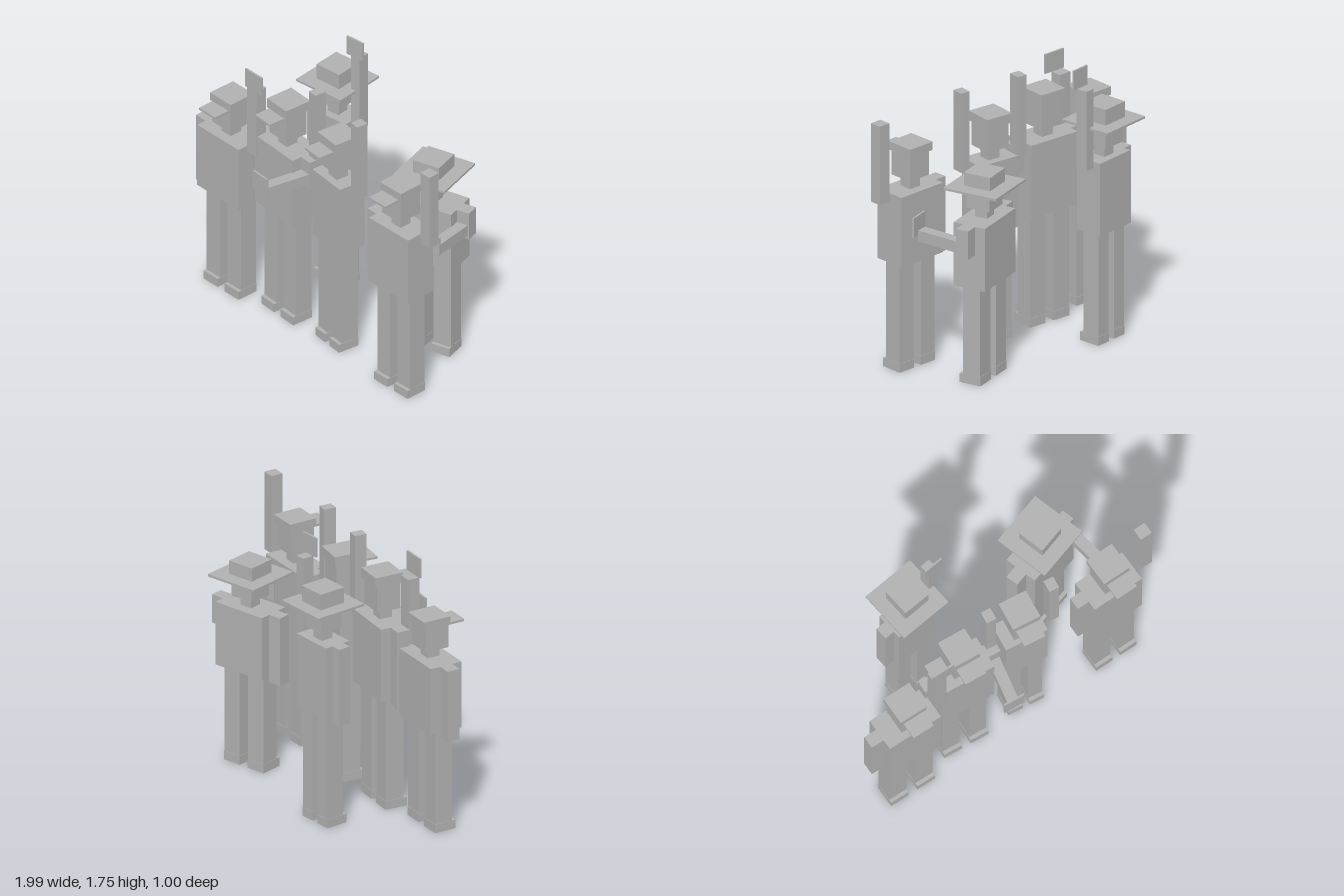
import * as THREE from 'three';

const grey = new THREE.MeshStandardMaterial({ color: 0xb0b0b0 });
grey.name = 'plainGrey';

// Box given by its centre in x and z, and its bottom and top in y
function block(parent, name, x, z, w, d, y0, y1) {
  const mesh = new THREE.Mesh(new THREE.BoxGeometry(w, y1 - y0, d), grey);
  mesh.name = name;
  mesh.position.set(x, (y0 + y1) / 2, z);
  parent.add(mesh);
  return mesh;
}

// Flat card held in the hand
function card(parent, x, z, y0, w = 0.135) {
  block(parent, 'card', x, z, w, 0.012, y0, y0 + 0.122);
}

function addArm(person, side, kind, p) {
  const aw = p.w * 0.23;
  const x = side * (p.w / 2 + aw / 2);
  if (kind === 'hanging') {
    block(person, 'hangingArm', x, 0, aw, 0.08, p.hip - 0.03, p.shoulder);
  } else if (kind === 'raised') {
    block(person, 'raisedArm', x + side * 0.038, 0, aw, 0.075, p.shoulder - 0.03, p.armTop);
  } else if (kind === 'raisedCard') {
    block(person, 'raisedArm', x, 0, aw, 0.075, p.shoulder - 0.04, p.armTop);
    card(person, x + p.cardShift, 0.038, p.armTop, p.cardWidth);
  } else if (kind === 'forward') {
    // Short upper arm, with a forearm that leans inwards
    const top = p.shoulder;
    block(person, 'upperArm', x, 0, aw, 0.08, top - 0.18, top);
    const forearm = block(person, 'forearm', x - side * 0.02, 0.165, 0.07, 0.31, top - 0.155, top - 0.085);
    forearm.rotation.y = -side * 0.13;
    card(person, x - side * 0.045, 0.34, top - 0.125);
  }
}

function makePerson(p) {
  const person = new THREE.Group();
  person.name = p.name;
  person.position.set(p.x, 0, p.z);
  person.rotation.y = THREE.MathUtils.degToRad(p.yaw);

  // Legs and feet
  for (const s of [-1, 1]) {
    const x = s * p.w * 0.255, lw = p.w * 0.33;
    block(person, 'leg', x, 0, lw, 0.115, 0.055, p.hip);
    block(person, 'foot', x, 0.01, lw + 0.004, 0.14, 0, 0.055);
  }

  // Torso, neck and head
  block(person, 'torso', 0, 0, p.w, p.d, p.hip, p.shoulder);
  block(person, 'neck', 0, 0, 0.08, 0.08, p.shoulder, p.chin);
  block(person, 'head', 0, 0, 0.155, 0.155, p.chin, p.hatBase);

  // Hat: a wide square brim, or a cap with a visor
  if (p.brim) {
    block(person, 'hatBrim', 0, 0, p.brim, p.brim, p.hatBase - 0.008, p.hatBase + 0.006);
    block(person, 'hatCrown', 0, 0, 0.175, 0.175, p.hatBase + 0.006, p.hatTop);
  } else {
    block(person, 'cap', 0, -0.005, 0.18, 0.18, p.hatBase, p.hatTop);
    block(person, 'capVisor', 0, 0.125, 0.14, 0.13, p.hatBase - 0.012, p.hatBase + 0.002);
  }

  addArm(person, -1, p.arms[0], p);
  addArm(person, 1, p.arms[1], p);
  return person;
}

const people = [
  { name: 'cappedPersonOne', x: -0.735, z: 0.18, yaw: -2, w: 0.36, d: 0.21, hip: 0.65, shoulder: 1.07,
    chin: 1.13, hatBase: 1.278, hatTop: 1.33, arms: ['hanging', 'raisedCard'], armTop: 1.485, cardShift: 0.02, cardWidth: 0.145 },
  { name: 'cappedPersonTwo', x: -0.31, z: 0.13, yaw: -5.5, w: 0.35, d: 0.21, hip: 0.71, shoulder: 1.172,
    chin: 1.235, hatBase: 1.402, hatTop: 1.465, arms: ['hanging', 'forward'] },
  { name: 'cappedPersonThree', x: 0.12, z: 0.137, yaw: -8, w: 0.275, d: 0.175, hip: 0.7, shoulder: 1.15,
    chin: 1.22, hatBase: 1.375, hatTop: 1.435, arms: ['raised', 'raised'], armTop: 1.62 },
  { name: 'cappedPersonFour', x: 0.712, z: 0.2, yaw: -1, w: 0.335, d: 0.2, hip: 0.685, shoulder: 1.125,
    chin: 1.195, hatBase: 1.353, hatTop: 1.405, arms: ['hanging', 'raised'], armTop: 1.59 },
  { name: 'brimmedPersonOne', x: -0.36, z: -0.32, yaw: 5, w: 0.275, d: 0.175, hip: 0.705, shoulder: 1.165,
    chin: 1.235, hatBase: 1.385, hatTop: 1.49, brim: 0.343, arms: ['hanging', 'raisedCard'],
    armTop: 1.627, cardShift: 0, cardWidth: 0.125 },
  { name: 'brimmedPersonTwo', x: 0.535, z: -0.235, yaw: 15.5, w: 0.36, d: 0.21, hip: 0.615, shoulder: 1.015,
    chin: 1.075, hatBase: 1.21, hatTop: 1.3, brim: 0.352, arms: ['hanging', 'forward'] },
];

export function createModel() {
  const group = new THREE.Group();
  group.name = 'crowd';
  for (const p of people) group.add(makePerson(p));
  return group;
}
